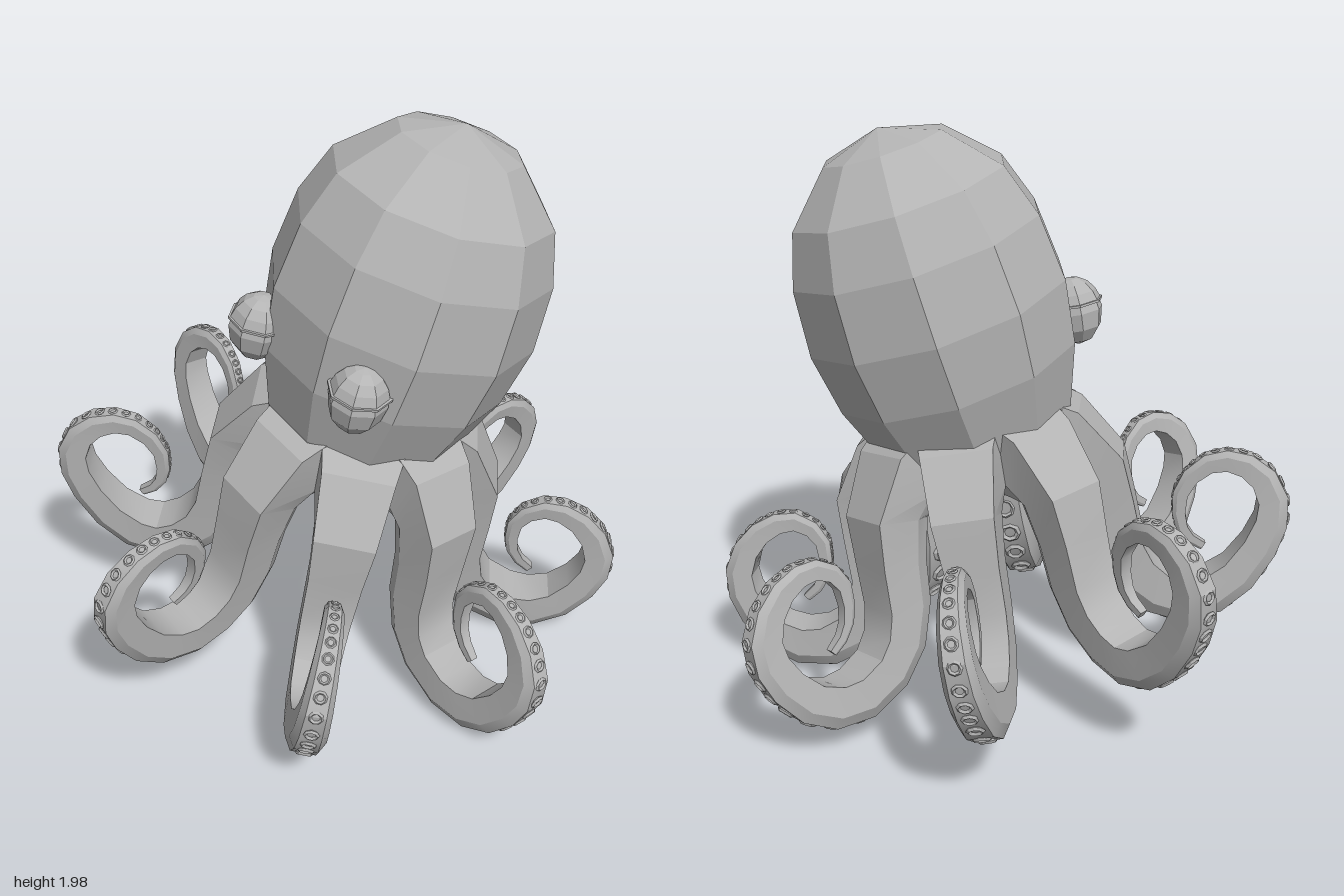
import * as THREE from 'three';
import { mergeGeometries, toCreasedNormals } from 'three/addons/utils/BufferGeometryUtils.js';

const skin = new THREE.MeshStandardMaterial({ color: 0xb4b4b4 });
skin.name = 'greySkin';

// Faceted look: edges sharper than the crease angle stay hard
function part(name, geometry, parent, crease = 0.01) {
  const mesh = new THREE.Mesh(toCreasedNormals(geometry, crease), skin);
  mesh.name = name;
  parent.add(mesh);
  return mesh;
}

// Arm centre line in its own plane: distance from the body axis, height, width
const ARM = [
  [0.2, 0.52, 0.3], [0.375, 0.43, 0.235], [0.425, 0.22, 0.19], [0.45, 0, 0.175],
  [0.54, -0.13, 0.165], [0.69, -0.185, 0.155], [0.835, -0.13, 0.135], [0.94, 0, 0.118],
  [0.975, 0.12, 0.105], [0.93, 0.235, 0.09], [0.835, 0.3, 0.075], [0.74, 0.3, 0.065],
  [0.66, 0.23, 0.055], [0.645, 0.13, 0.045], [0.67, 0.05, 0.038], [0.73, 0, 0.03],
];

// Six-sided section: sideways, towards the sucker side
const SECTION = [[0.5, 0.2], [0.32, 0.5], [-0.32, 0.5], [-0.5, 0.2], [-0.48, -0.5], [0.48, -0.5]];

function armCurve(lean) {
  return new THREE.CatmullRomCurve3(ARM.map(([r, y, w], i) => {
    const bend = i < 5 ? 0 : -0.15 * y;
    return new THREE.Vector3(r + bend * lean, y, w);
  }));
}

// Position, width and sucker-side direction at one place on the arm
function armFrame(curve, u) {
  const p = curve.getPoint(u);
  const a = curve.getPoint(Math.max(0, u - 0.005));
  const b = curve.getPoint(Math.min(1, u + 0.005));
  const normal = new THREE.Vector3(b.y - a.y, a.x - b.x, 0).normalize();
  return { centre: new THREE.Vector3(p.x, p.y, 0), width: p.z, normal };
}

function armGeometry(curve) {
  const steps = 22, n = SECTION.length;
  const positions = [], index = [];
  for (let i = 0; i <= steps + 1; i++) {
    const f = armFrame(curve, Math.min(1, i / steps));
    const size = i > steps ? 0.001 : f.width; // last ring closes the tip
    for (const [s, v] of SECTION) {
      const q = f.centre.clone().addScaledVector(f.normal, v * size);
      positions.push(q.x, q.y, s * size);
    }
  }
  for (let i = 0; i <= steps; i++) {
    for (let j = 0; j < n; j++) {
      const a = i * n + j, b = i * n + (j + 1) % n;
      index.push(a, b, b + n, a, b + n, a + n);
    }
  }
  const geometry = new THREE.BufferGeometry();
  geometry.setAttribute('position', new THREE.Float32BufferAttribute(positions, 3));
  geometry.setIndex(index);
  return geometry;
}

// One row of rings that shrink towards the tip
function suckerGeometry(curve) {
  const rings = [];
  let u = 0.1;
  while (u < 0.9) {
    const f = armFrame(curve, u);
    const ring = new THREE.TorusGeometry(f.width * 0.18, f.width * 0.06, 4, 8);
    const turn = new THREE.Quaternion().setFromUnitVectors(new THREE.Vector3(0, 0, 1), f.normal);
    ring.applyQuaternion(turn);
    const at = f.centre.clone().addScaledVector(f.normal, f.width * 0.48);
    ring.translate(at.x, at.y, at.z);
    rings.push(ring);
    const speed = armFrame(curve, u + 0.005).centre.distanceTo(f.centre) / 0.005;
    u += 0.53 * f.width / speed;
  }
  return mergeGeometries(rings);
}

export function createModel() {
  const model = new THREE.Group();
  model.name = 'octopus';

  // Head: ten-sided, leaning to its left and slightly back
  const profile = [
    [0, -0.2], [0.27, -0.12], [0.35, 0.03], [0.43, 0.25], [0.462, 0.47],
    [0.44, 0.7], [0.375, 0.88], [0.21, 1.04], [0, 1.1],
  ].map(([r, y]) => new THREE.Vector2(r, y));
  const head = part('head', new THREE.LatheGeometry(profile, 10, -0.17), model);
  head.position.set(0.085, 0.94, 0.005);
  head.quaternion.setFromUnitVectors(
    new THREE.Vector3(0, 1, 0), new THREE.Vector3(0.26, 0.955, -0.14).normalize());

  // Eyes: squashed balls with a thicker upper lid
  for (const [name, x, y, z, facing] of [
    ['leftEye', 0.235, 1.27, 0.38, 0.17],
    ['rightEye', -0.18, 1.35, 0.22, -0.94],
  ]) {
    const eye = new THREE.Group();
    eye.name = name;
    eye.position.set(x, y, z);
    eye.rotation.set(0, facing, -0.2, 'ZYX');
    model.add(eye);
    part('eyeball', new THREE.SphereGeometry(0.1, 8, 6), eye).scale.set(0.98, 1.18, 1);
    const lid = part('upperLid',
      new THREE.SphereGeometry(0.103, 8, 4, 0, Math.PI * 2, 0, Math.PI * 0.42), eye);
    lid.scale.set(0.98, 1.16, 1);
    const rim = part('lidRim', new THREE.CylinderGeometry(0.105, 0.105, 0.008, 8), eye);
    rim.position.y = 0.03;
  }

  // Arms: eight equal spirals around a tilted axis
  const arms = new THREE.Group();
  arms.name = 'arms';
  arms.position.y = 0.41;
  arms.rotation.z = -0.2;
  model.add(arms);
  for (let k = 0; k < 8; k++) {
    const angle = THREE.MathUtils.degToRad(26.5 + 45 * k);
    const curve = armCurve(Math.cos(angle));
    const arm = new THREE.Group();
    arm.name = `arm${k + 1}`;
    arm.rotation.y = -angle;
    part('tentacle', armGeometry(curve), arm, 0.45);
    part('suckers', suckerGeometry(curve), arm);
    arms.add(arm);
  }

  // Beak under the head, between the arms
  const beak = part('beak', new THREE.ConeGeometry(0.07, 0.08, 6), arms);
  beak.position.y = 0.38;
  beak.rotation.x = Math.PI;

  return model;
}
